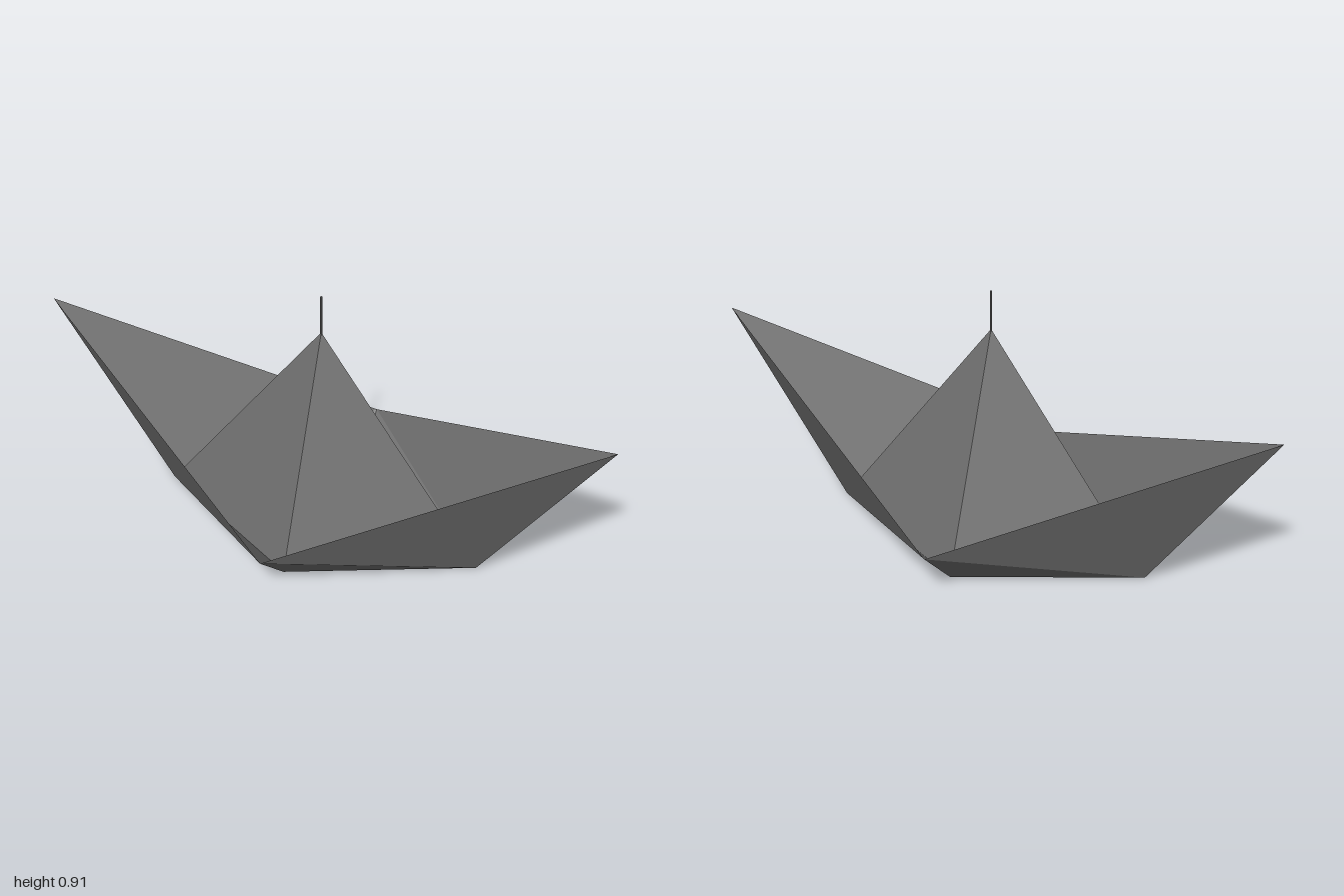
import * as THREE from 'three';

const paper = new THREE.MeshStandardMaterial({ color: 0x707070, flatShading: true, side: THREE.DoubleSide });
paper.name = 'grey paper';

// Folded sheet made of separate triangles, so every crease stays sharp
function sheet(name, triangles) {
  const geometry = new THREE.BufferGeometry();
  geometry.setAttribute('position', new THREE.Float32BufferAttribute(triangles.flat(2), 3));
  geometry.computeVertexNormals();
  const mesh = new THREE.Mesh(geometry, paper);
  mesh.name = name;
  return mesh;
}

export function createModel() {
  const boat = new THREE.Group();
  boat.name = 'paperBoat';
  const peak = [0, 0.775, 0];
  const hull = [], sail = [];

  // One quarter of the boat, mirrored across x and z
  for (const sx of [1, -1]) for (const sz of [1, -1]) {
    const tip = [sx, 0.62, 0];
    const rim = [0, 0.165, 0.455 * sz];
    const footEnd = [0.565 * sx, 0, 0];
    const footSide = [0, 0, 0.29 * sz];
    // Mirroring once reverses the corner order
    const facing = (a, b, c) => (sx * sz > 0 ? [a, b, c] : [a, c, b]);
    hull.push(facing(tip, rim, footEnd), facing(rim, footSide, footEnd));
    sail.push(facing(peak, footSide, footEnd));
  }

  // Open-bottomed hull and the central folded peak
  boat.add(sheet('hull', hull), sheet('sail', sail));

  // Thin mast on the peak
  const mast = new THREE.Mesh(new THREE.CylinderGeometry(0.0035, 0.0035, 0.15, 8), paper);
  mast.name = 'mast';
  mast.position.y = 0.835;
  boat.add(mast);
  return boat;
}
